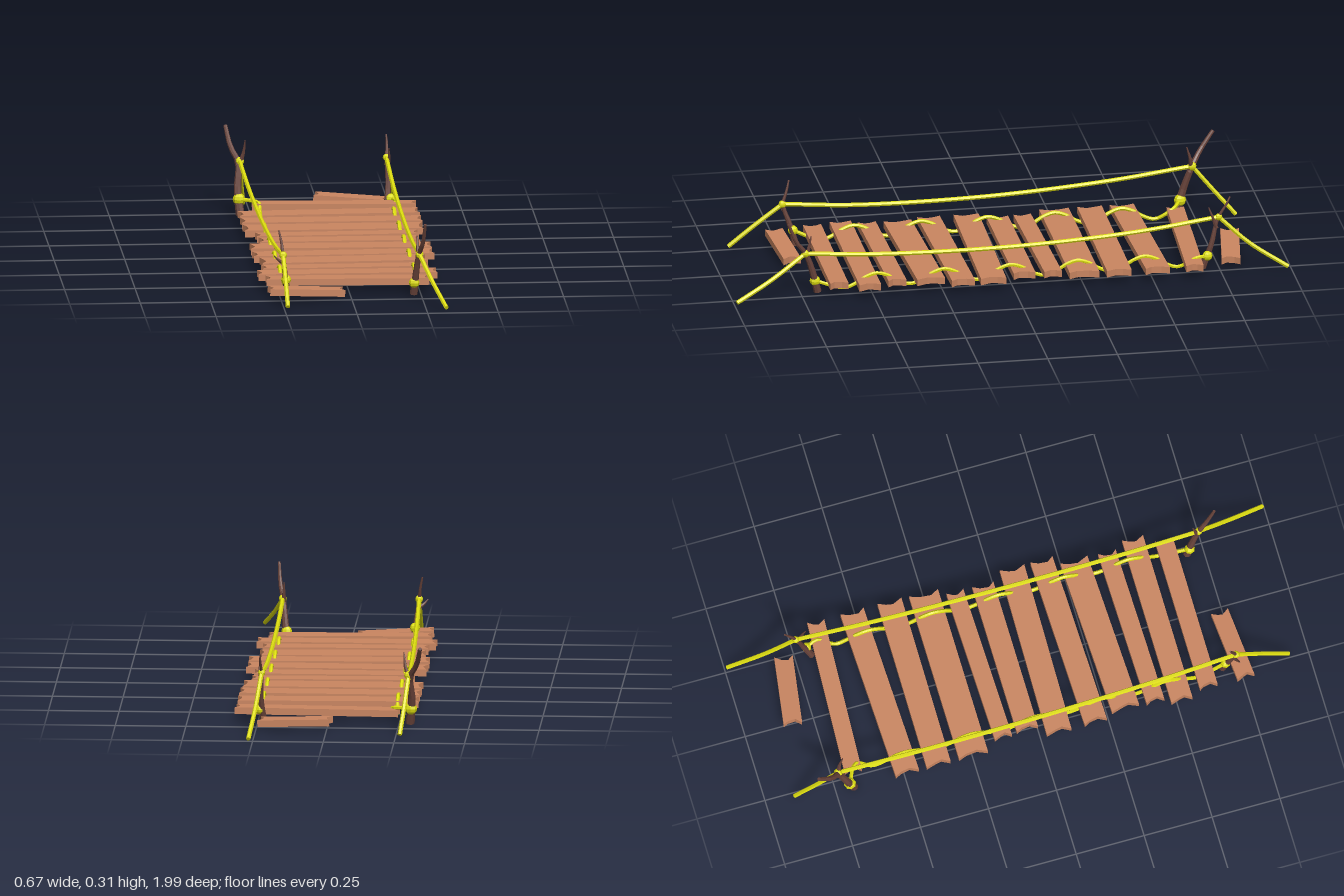
import * as THREE from 'three';

const plankMat = new THREE.MeshStandardMaterial({ color: 0xc98560, flatShading: true });
const barkMat = new THREE.MeshStandardMaterial({ color: 0x68433a, flatShading: true });
const ropeMat = new THREE.MeshStandardMaterial({ color: 0xdede10, flatShading: true });

function add(parent, name, geometry, material) {
  const mesh = new THREE.Mesh(geometry, material);
  mesh.name = name;
  parent.add(mesh);
  return mesh;
}

// Tube along points, tapering from r0 to r1, with closed ends
function taperedTube(points, r0, r1, segments, sides) {
  const curve = new THREE.CatmullRomCurve3(points.map(p => new THREE.Vector3(...p)));
  const geo = new THREE.TubeGeometry(curve, segments, 1, sides);
  const pos = geo.attributes.position, nor = geo.attributes.normal;
  for (let i = 0; i <= segments; i++) {
    const t = THREE.MathUtils.clamp((i - 1) / (segments - 2), 0, 1);
    const c = curve.getPointAt(t);
    const r = i === 0 || i === segments ? 0 : r0 + (r1 - r0) * t;
    for (let j = 0; j <= sides; j++) {
      const k = i * (sides + 1) + j;
      pos.setXYZ(k, c.x + nor.getX(k) * r, c.y + nor.getY(k) * r, c.z + nor.getZ(k) * r);
    }
  }
  geo.computeVertexNormals();
  return geo;
}

// Board with a notched cut at both ends
function plankGeometry(length, width, thick, notch) {
  const h = length / 2, w = width / 2;
  const shape = new THREE.Shape([
    [-h, -w], [h, -w], [h - 0.012, -w * 0.35], [h - 0.016, notch * w], [h, w],
    [-h, w], [-h + 0.016, w * 0.3], [-h + 0.011, -notch * w],
  ].map(p => new THREE.Vector2(...p)));
  const geo = new THREE.ExtrudeGeometry(shape, { depth: thick, bevelEnabled: false });
  geo.translate(0, 0, -thick / 2);
  return geo.rotateX(Math.PI / 2);
}

function buildDeck() {
  const deck = new THREE.Group();
  deck.name = 'deck';
  // left x, right x, z at left, z at right, width, y at left, y at right
  const planks = [
    [-0.02, 0.24, -0.83, -0.79, 0.066, 0.045, 0.031],
    [-0.25, 0.33, -0.675, -0.645, 0.062, 0.048, 0.047],
    [-0.31, 0.33, -0.493, -0.512, 0.086, 0.047, 0.047],
    [-0.31, 0.33, -0.378, -0.374, 0.088, 0.047, 0.047],
    [-0.31, 0.325, -0.25, -0.25, 0.106, 0.047, 0.047],
    [-0.275, 0.3, -0.13, -0.142, 0.063, 0.047, 0.047],
    [-0.27, 0.297, -0.04, -0.04, 0.078, 0.047, 0.047],
    [-0.31, 0.33, 0.065, 0.077, 0.09, 0.047, 0.047],
    [-0.31, 0.33, 0.2, 0.185, 0.082, 0.047, 0.047],
    [-0.29, 0.297, 0.315, 0.295, 0.1, 0.047, 0.047],
    [-0.295, 0.293, 0.424, 0.415, 0.065, 0.047, 0.047],
    [-0.317, 0.318, 0.515, 0.517, 0.077, 0.047, 0.047],
    [-0.295, 0.282, 0.62, 0.622, 0.065, 0.05, 0.046],
    [-0.295, -0.027, 0.757, 0.737, 0.063, 0.043, 0.031],
  ];
  planks.forEach(([x0, x1, z0, z1, w, y0, y1], i) => {
    const dx = x1 - x0;
    const mesh = add(deck, 'plank' + (i + 1),
      plankGeometry(dx, w, 0.024, i % 2 ? 0.2 : 0.45), plankMat);
    mesh.position.set((x0 + x1) / 2, (y0 + y1) / 2, (z0 + z1) / 2);
    mesh.rotation.set(0, -Math.atan2(z1 - z0, dx), Math.atan2(y1 - y0, dx));
  });
  return deck;
}

// Forked branch posts: trunk and side-branch paths, plus the two rope knots
const posts = [
  { name: 'backLeftPost', r: 0.016, tip: 0.007,
    trunk: [[-0.29, 0.012, -0.685], [-0.298, 0.1, -0.71], [-0.293, 0.19, -0.742], [-0.318, 0.24, -0.775], [-0.333, 0.308, -0.825]],
    twig: [[-0.293, 0.18, -0.738], [-0.277, 0.22, -0.735], [-0.27, 0.275, -0.72]],
    low: [-0.294, 0.067, -0.70, 0.022], top: [-0.288, 0.195, -0.742, 0.016] },
  { name: 'backRightPost', r: 0.013, tip: 0.003,
    trunk: [[0.228, 0.012, -0.69], [0.236, 0.1, -0.72], [0.232, 0.2, -0.745], [0.236, 0.24, -0.77], [0.234, 0.275, -0.787]],
    twig: [[0.234, 0.16, -0.738], [0.24, 0.2, -0.725], [0.238, 0.24, -0.71]],
    low: [0.243, 0.06, -0.705, 0.018], top: [0.232, 0.2, -0.747, 0.013] },
  { name: 'frontLeftPost', r: 0.013, tip: 0.003,
    trunk: [[-0.225, 0.015, 0.69], [-0.234, 0.09, 0.71], [-0.243, 0.165, 0.733], [-0.248, 0.21, 0.72], [-0.256, 0.25, 0.71]],
    twig: [[-0.24, 0.135, 0.725], [-0.258, 0.147, 0.735], [-0.275, 0.165, 0.74]],
    low: [-0.23, 0.07, 0.70, 0.018], top: [-0.243, 0.166, 0.735, 0.014] },
  { name: 'frontRightPost', r: 0.014, tip: 0.005,
    trunk: [[0.223, 0.01, 0.69], [0.23, 0.09, 0.71], [0.238, 0.16, 0.735], [0.25, 0.21, 0.77], [0.256, 0.282, 0.8]],
    twig: [[0.236, 0.15, 0.73], [0.235, 0.19, 0.722], [0.234, 0.225, 0.715]],
    low: [0.224, 0.052, 0.70, 0.019], top: [0.24, 0.162, 0.737, 0.014] },
];

function buildPost(p) {
  const post = new THREE.Group();
  post.name = p.name;
  add(post, 'trunk', taperedTube(p.trunk, p.r, p.tip, 12, 8), barkMat);
  add(post, 'sideBranch', taperedTube(p.twig, p.r * 0.65, 0.002, 8, 6), barkMat);
  for (const key of ['low', 'top']) {
    const [x, y, z, r] = p[key];
    add(post, key === 'low' ? 'deckKnot' : 'railKnot',
      new THREE.SphereGeometry(r, 8, 6), ropeMat).position.set(x, y, z);
  }
  return post;
}

function buildRopes(side) {
  const ropes = new THREE.Group();
  const left = side === 'left';
  ropes.name = side + 'Ropes';
  const [back, front] = left ? [posts[0], posts[2]] : [posts[1], posts[3]];
  const a = back.top.slice(0, 3), b = front.top.slice(0, 3);

  // Sagging hand rope between the posts
  const rail = [a];
  for (const [z, y] of [[-0.44, 0.162], [0, 0.138], [0.46, 0.142]]) {
    const t = (z - a[2]) / (b[2] - a[2]);
    rail.push([a[0] + (b[0] - a[0]) * t, y, z]);
  }
  rail.push(b);
  add(ropes, 'handRope', taperedTube(rail, 0.008, 0.008, 32, 6), ropeMat);

  // Stay ropes running down to the ground
  const backStay = left
    ? [a, [-0.277, 0.10, -0.82], [-0.265, 0.012, -0.895]]
    : [a, [0.247, 0.10, -0.855], [0.266, 0.01, -0.99]];
  const frontStay = left
    ? [b, [-0.241, 0.09, 0.84], [-0.24, 0.02, 0.93]]
    : [b, [0.279, 0.085, 0.865], [0.317, 0.022, 0.995]];
  add(ropes, 'backStay', taperedTube(backStay, 0.008, 0.008, 10, 6), ropeMat);
  add(ropes, 'frontStay', taperedTube(frontStay, 0.008, 0.008, 10, 6), ropeMat);

  // Deck rope weaving over and under the planks
  const x = left ? -0.237 : 0.239;
  const weave = [back.low.slice(0, 3), [left ? -0.225 : 0.26, 0.06, -0.66]];
  for (let z = -0.6; z < 0.63; z += 0.04)
    weave.push([x, 0.048 + 0.024 * Math.cos(z * Math.PI * 2 / 0.24), z]);
  weave.push(front.low.slice(0, 3));
  add(ropes, 'deckRope', taperedTube(weave, 0.007, 0.007, 100, 6), ropeMat);
  return ropes;
}

export function createModel() {
  const bridge = new THREE.Group();
  bridge.name = 'ropeBridge';
  bridge.add(buildDeck(), ...posts.map(buildPost), buildRopes('left'), buildRopes('right'));
  return bridge;
}
